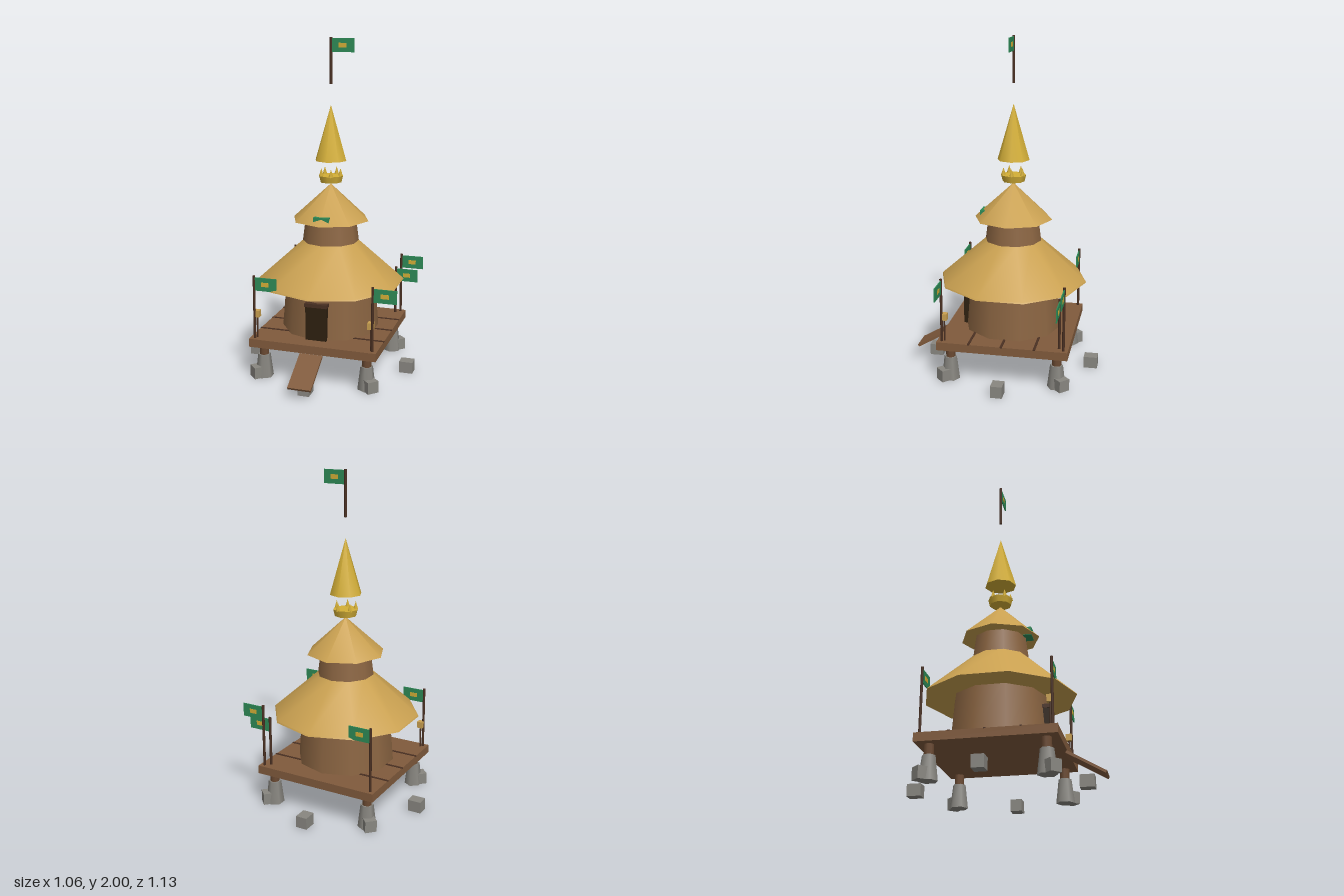
import * as THREE from 'three';

export function createModel() {
  const model = new THREE.Group();
  model.name = 'stiltHut';
  const CZ = -0.037; // z of the hut's axis

  const material = (name, color) => {
    const m = new THREE.MeshStandardMaterial({ color });
    m.name = name;
    return m;
  };
  const thatch = material('thatch', 0xc9a050);
  const wall = material('wall brown', 0x8b6542);
  const plank = material('plank brown', 0x805a3c);
  const post = material('post brown', 0x6b4a32);
  const dark = material('dark wood', 0x4a3022);
  const opening = material('door dark', 0x2e2010);
  const gold = material('gold', 0xd4af37);
  const green = material('flag green', 0x2e8b57);
  const stone = material('stone', 0x888680);

  const add = (parent, name, geometry, mat, x, y, z) => {
    const mesh = new THREE.Mesh(geometry, mat);
    mesh.name = name;
    mesh.position.set(x, y, z);
    parent.add(mesh);
    return mesh;
  };
  const box = (name, mat, [w, h, d], [x, y, z], parent = model) =>
    add(parent, name, new THREE.BoxGeometry(w, h, d), mat, x, y, z);
  // Upright tapered cylinder between two heights
  const taper = (name, mat, rTop, rBottom, y0, y1, sides, x = 0, z = CZ, parent = model) =>
    add(parent, name, new THREE.CylinderGeometry(rTop, rBottom, y1 - y0, sides), mat, x, (y0 + y1) / 2, z);

  // Deck with dark seams across it
  box('deck', plank, [0.776, 0.05, 0.776], [0, 0.225, CZ]);
  for (const dz of [-0.194, 0, 0.194]) {
    box('deckSeam', dark, [0.778, 0.006, 0.014], [0, 0.25, CZ + dz]);
  }

  // Entrance ramp
  const ramp = box('ramp', plank, [0.139, 0.015, 0.248], [0, 0.13, 0.452]);
  ramp.rotation.x = Math.PI / 6;

  // Stone footings with short wooden stilts
  for (const sx of [-1, 1]) {
    for (const sz of [-1, 1]) {
      const x = sx * 0.318, z = CZ + sz * 0.318;
      taper('footing', stone, 0.038, 0.055, 0, 0.14, 6, x, z);
      taper('stilt', post, 0.028, 0.028, 0.14, 0.2, 8, x, z);
    }
  }

  // Ring of loose stone blocks
  for (let i = 0; i < 8; i++) {
    const a = (i * Math.PI) / 4;
    const block = box('stoneBlock', stone, [0.069, 0.07, 0.082],
      [Math.sin(a) * 0.487, 0.035, CZ + Math.cos(a) * 0.487]);
    block.rotation.y = a;
  }

  // Walls and thatched roofs
  taper('lowerWall', wall, 0.27, 0.295, 0.25, 0.56, 10);
  taper('lowerRoof', thatch, 0.16, 0.442, 0.55, 0.8, 10);
  taper('eaveRim', thatch, 0.442, 0.447, 0.543, 0.55, 10);
  taper('upperWall', wall, 0.152, 0.17, 0.79, 0.93, 10);
  add(model, 'upperRoof', new THREE.ConeGeometry(0.235, 0.217, 8), thatch, 0, 1.0315, CZ);

  // Doorway and lintel
  box('door', opening, [0.128, 0.205, 0.06], [0, 0.3525, 0.23]);
  box('lintel', dark, [0.138, 0.022, 0.064], [0, 0.464, 0.231]);

  // Green block set into the front of the upper roof
  box('roofOrnament', green, [0.094, 0.05, 0.05], [0, 0.945, 0.133]);

  // Floating crown ring with five spikes
  taper('crownRing', gold, 0.076, 0.066, 1.15, 1.19, 8);
  for (let i = 0; i < 5; i++) {
    const a = (i * Math.PI * 2) / 5;
    add(model, 'crownSpike', new THREE.ConeGeometry(0.016, 0.05, 4), gold,
      Math.cos(a) * 0.06, 1.21, CZ + Math.sin(a) * 0.06);
  }

  // Floating spire
  add(model, 'spire', new THREE.ConeGeometry(0.096, 0.33, 8), gold, 0, 1.445, CZ);

  // Flags: pole, cloth and a gold patch showing on both sides
  const flag = (x, z, y0, y1, clothY) => {
    const group = new THREE.Group();
    group.name = 'flag';
    taper('flagPole', dark, 0.008, 0.008, y0, y1, 8, x, z, group);
    box('flagCloth', green, [0.14, 0.08, 0.006], [x + 0.07, clothY, z], group);
    box('flagPatch', gold, [0.048, 0.026, 0.009], [x + 0.07, clothY, z], group);
    model.add(group);
  };
  flag(0, CZ, 1.73, 2, 1.955);
  for (const x of [-0.36, 0.36]) {
    flag(x, 0.322, 0.25, 0.635, 0.585);
    flag(x, -0.398, 0.25, 0.635, 0.585);
  }
  flag(0.332, -0.37, 0.25, 0.555, 0.503);

  // Lanterns on thin posts at the front corners
  for (const x of [-0.348, 0.348]) {
    taper('lanternPost', dark, 0.005, 0.005, 0.25, 0.38, 6, x, 0.308);
    box('lantern', thatch, [0.035, 0.04, 0.035], [x, 0.4, 0.308]);
  }

  return model;
}
